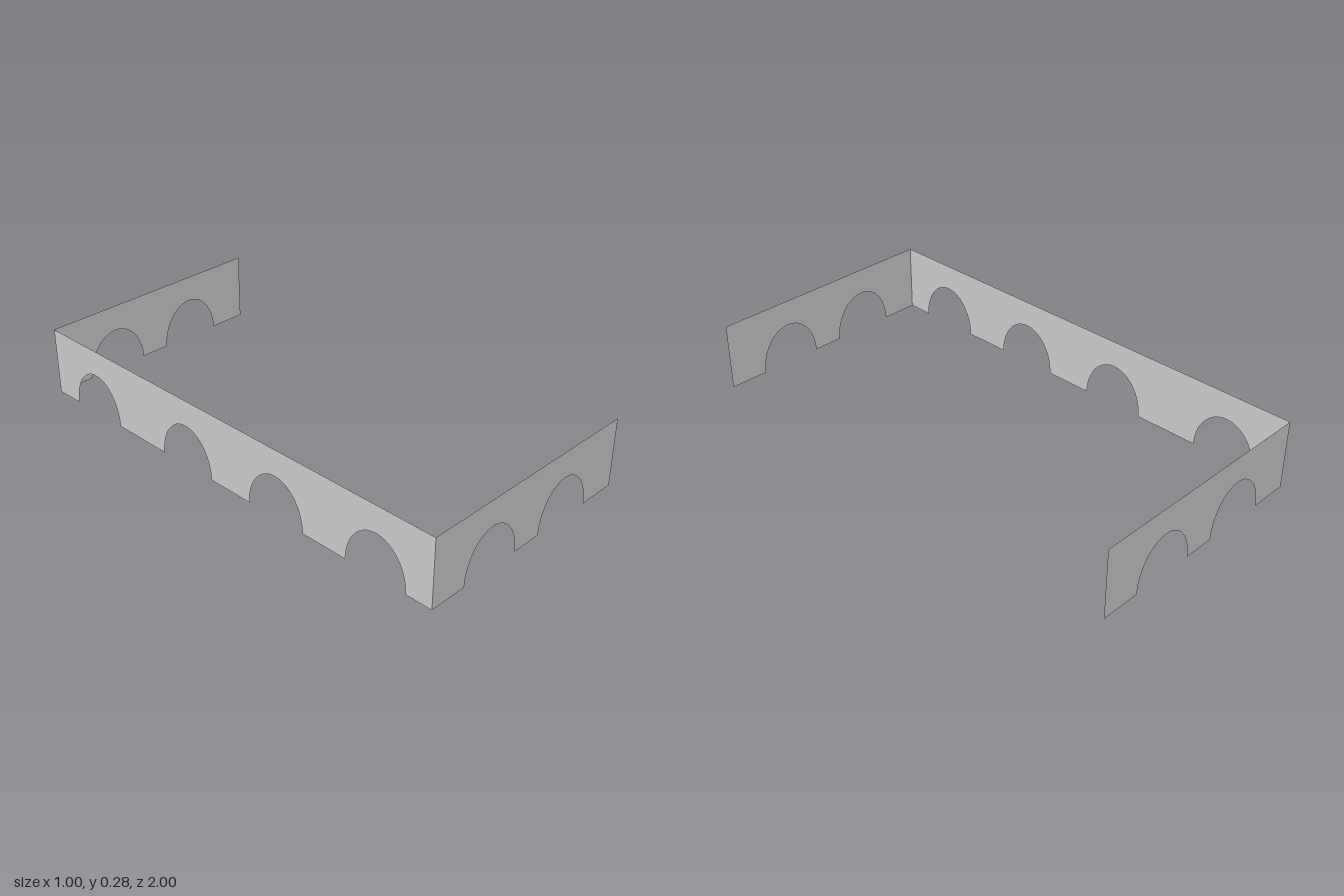
import * as THREE from 'three';

const HEIGHT = 0.285, ARCH_HALF = 0.135, ARCH_TOP = 0.175;

// Thin wall centred on x = 0, with elliptical arches cut up from its base
function arcadeGeometry(length, archCentres) {
  const half = length / 2;
  const shape = new THREE.Shape();
  shape.moveTo(-half, 0);
  for (const c of archCentres) {
    shape.lineTo(c - ARCH_HALF, 0);
    shape.absellipse(c, 0, ARCH_HALF, ARCH_TOP, Math.PI, 0, true);
  }
  shape.lineTo(half, 0);
  shape.lineTo(half, HEIGHT);
  shape.lineTo(-half, HEIGHT);
  shape.closePath();
  return new THREE.ShapeGeometry(shape, 16);
}

export function createModel() {
  const model = new THREE.Group();
  model.name = 'archedWalls';
  const material = new THREE.MeshStandardMaterial({ color: 0xcccccc, side: THREE.DoubleSide });

  const addWall = (name, geometry, x, z, turn = 0) => {
    const wall = new THREE.Mesh(geometry, material);
    wall.name = name;
    wall.position.set(x, 0, z);
    wall.rotation.y = turn;
    model.add(wall);
  };

  // Two short end walls with a pair of arches each
  const endWall = arcadeGeometry(1, [-0.203, 0.199]);
  addWall('frontWall', endWall, 0, 1);
  addWall('backWall', endWall, 0, -1);

  // Long wall joining them on the right side; its local x runs along -z
  const longWall = arcadeGeometry(2, [-0.754, -0.28, 0.195, 0.738]);
  addWall('rightWall', longWall, -0.5, 0, Math.PI / 2);

  return model;
}
